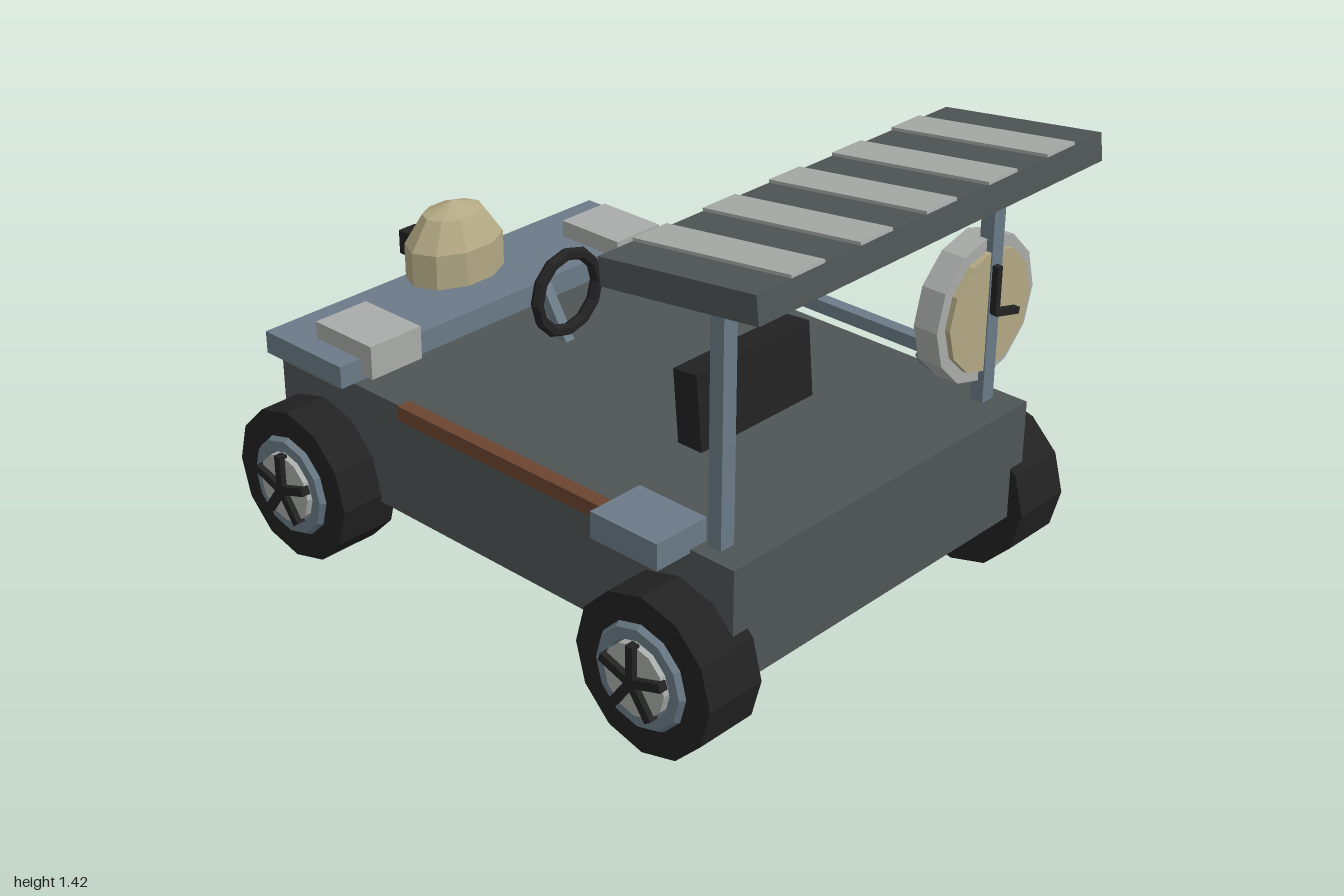
import * as THREE from 'three';

const paint = (name, color) => Object.assign(new THREE.MeshStandardMaterial({ color }), { name });

export function createModel() {
  const charcoal = paint('charcoal', 0x4f5555);
  const steel = paint('steel blue', 0x6a7b87);
  const silver = paint('light grey', 0xa8aca9);
  const black = paint('black', 0x222222);
  const bone = paint('bone', 0xb3a984);
  const wood = paint('brown', 0x6b4430);

  const model = new THREE.Group();
  model.name = 'buggy';

  // Adds a faceted mesh to a parent
  function add(name, geometry, material, x, y, z, parent = model) {
    const flat = geometry.index ? geometry.toNonIndexed() : geometry;
    flat.computeVertexNormals();
    const mesh = new THREE.Mesh(flat, material);
    mesh.name = name;
    mesh.position.set(x, y, z);
    parent.add(mesh);
    return mesh;
  }
  const box = (w, h, d) => new THREE.BoxGeometry(w, h, d);
  function group(name, x, y, z, parent = model) {
    const g = new THREE.Group();
    g.name = name;
    g.position.set(x, y, z);
    parent.add(g);
    return g;
  }

  // Body and rear deck
  add('body', box(1.25, 0.357, 1.805), charcoal, 0, 0.3975, -0.032);
  add('rearDeck', box(1.35, 0.07, 0.34), steel, 0, 0.613, -0.77);
  for (const s of [-1, 1]) {
    add('deckBlock', box(0.19, 0.105, 0.245), silver, s * 0.505, 0.65, -0.672);
    add('roofPost', box(0.05, 0.74, 0.045), steel, s * 0.554, 0.93, 0.762);
  }

  // Wheels: tyre, rim ring, hub disc and five spokes
  for (const s of [-1, 1]) {
    for (const z of [0.682, -0.748]) {
      const wheel = group('wheel', 0, 0.24, z);
      wheel.rotation.y = s < 0 ? Math.PI : 0;
      add('tyre', new THREE.CylinderGeometry(0.24, 0.24, 0.197, 12).rotateZ(-Math.PI / 2),
        black, 0.667, 0, 0, wheel);
      add('rim', new THREE.TorusGeometry(0.132, 0.033, 6, 12).rotateY(Math.PI / 2),
        steel, 0.754, 0, 0, wheel);
      add('hub', new THREE.CylinderGeometry(0.108, 0.108, 0.05, 12).rotateZ(-Math.PI / 2),
        silver, 0.77, 0, 0, wheel);
      for (let i = 0; i < 5; i++) {
        const spoke = box(0.028, 0.113, 0.026).translate(0, 0.0565, 0).rotateX(i * Math.PI * 0.4);
        add('spoke', spoke, black, 0.799, 0, 0, wheel);
      }
    }
  }

  // Tilted striped roof
  const roof = group('roof', 0, 1.338, 0.737);
  roof.rotation.x = -0.123;
  add('roofPanel', box(1.4, 0.08, 0.52), charcoal, 0, 0, 0, roof);
  for (let i = -2; i <= 2; i++)
    add('roofStripe', box(0.123, 0.009, 0.52), silver, i * 0.257, 0.0445, 0, roof);

  // Clock on the left post
  const clock = group('clock', 0.544, 0.862, 0);
  add('clockCase', new THREE.CylinderGeometry(0.224, 0.224, 0.08, 12).rotateX(Math.PI / 2),
    silver, 0, 0, 0.724, clock);
  add('clockFace', new THREE.CylinderGeometry(0.187, 0.187, 0.02, 12).rotateX(Math.PI / 2),
    bone, 0, 0, 0.771, clock);
  add('minuteHand', box(0.02, 0.145, 0.022), black, 0, 0.07, 0.794, clock);
  add('hourHand', box(0.11, 0.02, 0.022), black, 0.053, -0.014, 0.794, clock).rotation.z = -0.25;

  // Side fittings: bracket and wooden bar on one side, ring spanner on the other
  add('sideBracket', box(0.185, 0.08, 0.237), steel, -0.656, 0.606, 0.602);
  add('woodenBar', box(0.045, 0.045, 0.85), wood, -0.667, 0.603, 0.09);
  const spanner = group('spanner', 0, 0.607, 0);
  add('spannerHandle', box(0.043, 0.042, 0.82), steel, 0.666, 0, 0.083, spanner);
  add('spannerRing', new THREE.TorusGeometry(0.083, 0.029, 6, 8).rotateX(Math.PI / 2),
    steel, 0.668, 0, 0.574, spanner);

  // Seat back with a rear panel
  const seat = group('seat', 0, 0.685, 0.348);
  seat.rotation.x = -0.09;
  add('seatBack', box(0.47, 0.238, 0.087), black, 0, 0, 0, seat);
  add('seatPanel', box(0.36, 0.15, 0.025), charcoal, 0, 0.015, -0.054, seat);

  // Steering wheel and slanted column
  add('steeringWheel', new THREE.TorusGeometry(0.123, 0.02, 6, 12), black, 0, 0.735, -0.357);
  add('steeringColumn', box(0.035, 0.2, 0.03), steel, 0, 0.65, -0.41).rotation.x = -0.55;

  // Skull ornament facing backwards
  const skull = group('skull', 0, 0, 0);
  const cranium = new THREE.SphereGeometry(1, 10, 5).scale(0.181, 0.181, 0.13);
  add('cranium', cranium, bone, 0, 0.704, -0.855, skull);
  add('jaw', box(0.19, 0.11, 0.11), bone, 0, 0.56, -0.922, skull);
  for (const s of [-1, 1])
    add('eye', box(0.066, 0.078, 0.06), black, s * 0.073, 0.737, -0.96, skull);
  for (let i = 0; i < 4; i++)
    add('toothGap', box(0.02, 0.065, 0.03), black, (i - 1.5) * 0.045, 0.552, -0.985, skull);

  return model;
}
